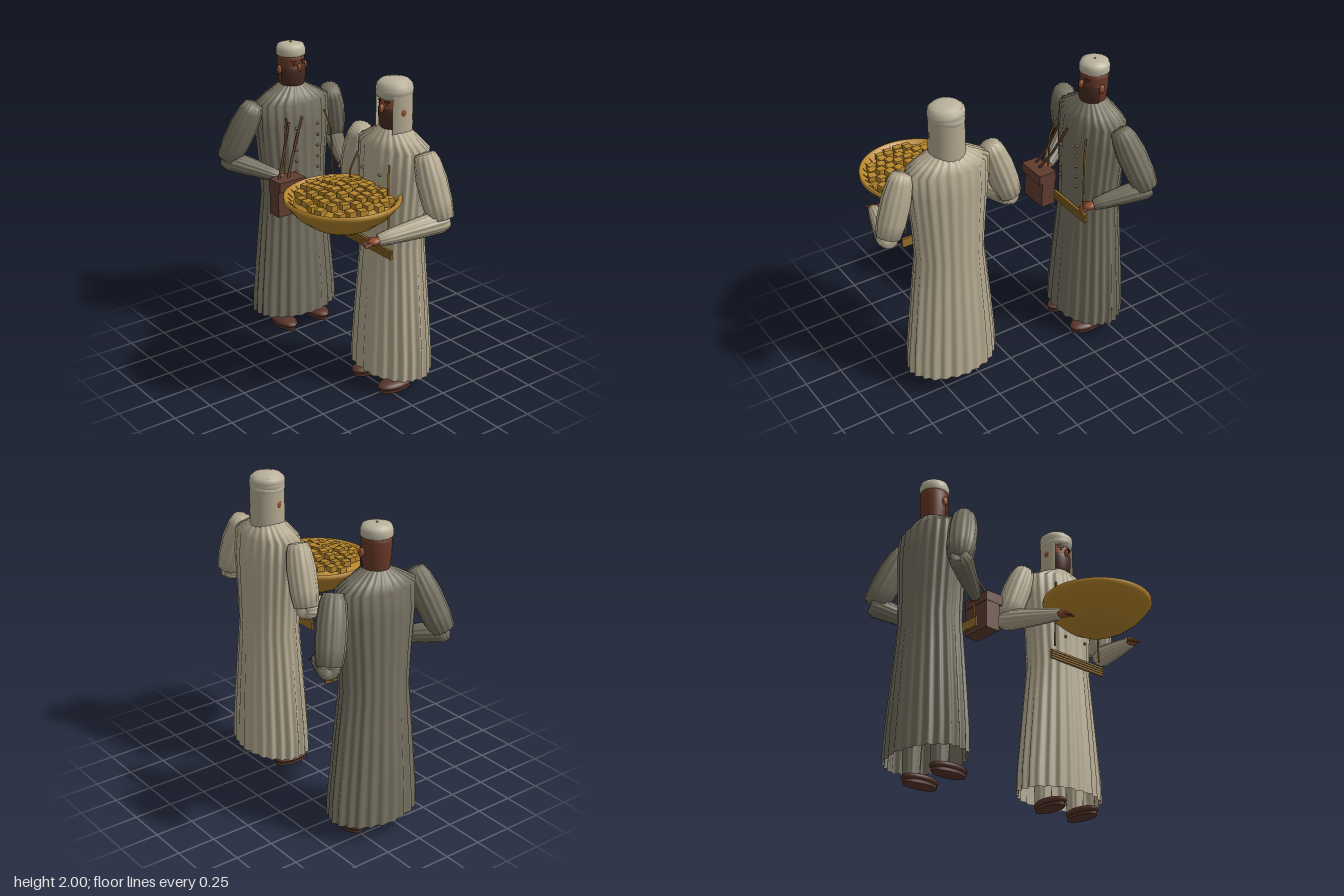
import * as THREE from 'three';

const mat = (name, color, side = THREE.FrontSide) => {
  const m = new THREE.MeshStandardMaterial({ color, side });
  m.name = name;
  return m;
};
const V = (x, y, z) => new THREE.Vector3(x, y, z);
const UP = V(0, 1, 0);

function add(parent, name, geo, material, x = 0, y = 0, z = 0) {
  const m = new THREE.Mesh(geo, material);
  m.name = name;
  m.position.set(x, y, z);
  parent.add(m);
  return m;
}

// Pleated cloth surface through elliptical rows [y, rx, rz, pleatDepth]
function loft(rows, pleats, segs) {
  const pos = [], idx = [];
  rows.forEach(([y, rx, rz, amp]) => {
    for (let j = 0; j < segs; j++) {
      const t = (j / segs) * Math.PI * 2;
      const k = 1 + amp * (Math.cos(pleats * t) + 0.4 * Math.cos(t * 9 + 1));
      pos.push(rx * k * Math.cos(t), y, rz * k * Math.sin(t));
    }
  });
  for (let i = 0; i < rows.length - 1; i++) {
    for (let j = 0; j < segs; j++) {
      const a = i * segs + j, b = i * segs + (j + 1) % segs;
      idx.push(a, a + segs, b, b, a + segs, b + segs);
    }
  }
  const g = new THREE.BufferGeometry();
  g.setAttribute('position', new THREE.Float32BufferAttribute(pos, 3));
  g.setIndex(idx);
  g.computeVertexNormals();
  return g;
}

// Pleated sleeve piece from a to b with radii at fractions [t, r]
function sleeve(parent, name, a, b, radii, material) {
  const len = a.distanceTo(b);
  const rows = radii.map(([t, r]) => [t * len, r, r, 0.035]);
  rows.unshift([0, 0.001, 0.001, 0]);
  rows.push([len, 0.001, 0.001, 0]);
  const m = add(parent, name, loft(rows, 14, 70), material, a.x, a.y, a.z);
  m.quaternion.setFromUnitVectors(UP, b.clone().sub(a).normalize());
}

function rod(parent, name, points, r, material) {
  const path = new THREE.CurvePath();
  for (let i = 1; i < points.length; i++) path.add(new THREE.LineCurve3(points[i - 1], points[i]));
  add(parent, name, new THREE.TubeGeometry(path, 24, r, 8), material);
}

// Palm, four fingers and thumb, pointing along dir
function hand(parent, at, dir, side, material) {
  const h = new THREE.Group();
  h.name = 'hand';
  h.position.copy(at);
  h.quaternion.setFromUnitVectors(V(0, 0, 1), dir.clone().normalize());
  add(h, 'palm', new THREE.SphereGeometry(1, 16, 12), material).scale.set(0.034, 0.022, 0.042);
  for (let i = 0; i < 4; i++) {
    const f = add(h, 'finger', new THREE.CapsuleGeometry(0.008, 0.035, 4, 8), material, (i - 1.5) * 0.016, -0.004, 0.046);
    f.rotation.x = Math.PI / 2 + 0.2;
  }
  const t = add(h, 'thumb', new THREE.CapsuleGeometry(0.009, 0.03, 4, 8), material, -side * 0.034, 0.004, 0.015);
  t.rotation.set(Math.PI / 2, 0, side * 0.5);
  parent.add(h);
}

function man(name, robe, skin, M, arms) {
  const g = new THREE.Group();
  g.name = name;
  // Long pleated robe, open at the hem
  add(g, 'robe', loft([
    [0.11, 0.3, 0.208, 0.035], [0.25, 0.295, 0.205, 0.035], [0.5, 0.272, 0.195, 0.032],
    [0.75, 0.248, 0.182, 0.028], [0.97, 0.226, 0.172, 0.022], [1.2, 0.24, 0.172, 0.02],
    [1.45, 0.262, 0.174, 0.025], [1.6, 0.262, 0.16, 0.03], [1.65, 0.18, 0.125, 0.03],
    [1.71, 0.075, 0.075, 0.01]], 24, 168), robe);
  // Head with beard, nose, ears and eyes
  const lathe = (pts, s, l) => new THREE.LatheGeometry(pts.map(p => new THREE.Vector2(...p)), 32, s, l);
  add(g, 'head', lathe([[0.075, 1.66], [0.08, 1.72], [0.088, 1.78], [0.09, 1.87], [0.085, 1.93], [0.001, 1.95]]), skin);
  add(g, 'beard', lathe([[0.078, 1.69], [0.091, 1.72], [0.096, 1.78], [0.096, 1.815], [0.088, 1.83]], -1.35, 2.7), M.hair);
  add(g, 'nose', new THREE.SphereGeometry(1, 12, 10), M.skin, 0, 1.825, 0.093).scale.set(0.014, 0.028, 0.022);
  for (const s of [-1, 1]) {
    add(g, 'ear', new THREE.SphereGeometry(1, 12, 10), M.skin, s * 0.1, 1.81, 0.012).scale.set(0.014, 0.03, 0.02);
    add(g, 'brow', new THREE.BoxGeometry(0.035, 0.008, 0.008), M.hair, s * 0.036, 1.868, 0.084).rotation.y = s * 0.4;
    add(g, 'eye', new THREE.SphereGeometry(0.007, 8, 6), M.hair, s * 0.034, 1.85, 0.083);
    // Trouser legs and shoes
    add(g, 'trouserLeg', loft([[0.05, 0.052, 0.052, 0.03], [0.4, 0.065, 0.065, 0.03]], 12, 60), robe, s * 0.135, 0, 0);
    add(g, 'shoe', new THREE.SphereGeometry(1, 24, 14), M.shoe, s * 0.135, 0.038, 0.065).scale.set(0.07, 0.032, 0.13);
    add(g, 'sole', new THREE.CylinderGeometry(1, 1, 1, 24), M.shoe, s * 0.135, 0.01, 0.065).scale.set(0.058, 0.02, 0.12);
    // Sleeves and hand
    const { elbow, wrist } = arms[s < 0 ? 'right' : 'left'];
    const e = V(s * elbow[0], elbow[1], elbow[2]), w = V(s * wrist[0], wrist[1], wrist[2]);
    sleeve(g, 'upperSleeve', V(s * 0.3, 1.615, 0.01), e, [[0, 0.058], [0.12, 0.076], [0.4, 0.09], [0.75, 0.088], [1, 0.076]], robe);
    sleeve(g, 'foreSleeve', e.clone().add(V(0, -0.015, 0)), w, [[-0.1, 0.05], [0.02, 0.068], [0.4, 0.06], [0.8, 0.046], [1, 0.036]], robe);
    const d = w.clone().sub(e).normalize();
    hand(g, w.clone().addScaledVector(d, 0.025), d, s, M.skin);
    // Gold cord down the chest
    rod(g, 'chestCord', [V(s * 0.15, 1.53, 0.155), V(s * 0.185, 1.4, 0.187), V(s * 0.195, 1.04, 0.187)], 0.006, M.trim);
    for (let i = 0; i < 5; i++) {
      add(g, 'button', new THREE.SphereGeometry(0.009, 10, 8), M.trim, s * 0.085, 1.15 + i * 0.075, 0.172);
    }
  }
  // Striped belt plate
  for (let i = 0; i < 4; i++) {
    add(g, 'beltStripe', new THREE.BoxGeometry(0.45, 0.012, 0.016), M.trim, 0, 0.96 + i * 0.0165, 0.184);
  }
  add(g, 'beltBacking', new THREE.BoxGeometry(0.45, 0.058, 0.009), M.trim, 0, 0.985, 0.18);
  return g;
}

export function createModel() {
  const M = {
    robeGrey: mat('grey robe cloth', 0x757060, THREE.DoubleSide),
    robeCream: mat('cream robe cloth', 0xb4a990, THREE.DoubleSide),
    cap: mat('headwear cloth', 0xbab29c, THREE.DoubleSide),
    skin: mat('skin', 0x93502f),
    darkSkin: mat('dark skin', 0x683827),
    hair: mat('beard', 0x482a20, THREE.DoubleSide),
    leather: mat('bag leather', 0x613d30),
    shoe: mat('shoe leather', 0x57352a),
    trim: mat('gold trim', 0x96702a),
    gold: mat('basket gold', 0xb5852c, THREE.DoubleSide),
  };
  const lathe = (pts, n = 48) => new THREE.LatheGeometry(pts.map(p => new THREE.Vector2(...p)), n);
  const model = new THREE.Group();
  model.name = 'twoMen';

  // Man with a shoulder bag, turned to +x
  const arm = { elbow: [0.425, 1.24, -0.115], wrist: [0.29, 1.135, 0.18] };
  const a = man('bagMan', M.robeGrey, M.darkSkin, M, { left: arm, right: { elbow: arm.elbow, wrist: [0.22, 1.15, 0.17] } });
  add(a, 'cap', lathe([[0.088, 1.895], [0.095, 1.9], [0.095, 1.935], [0.085, 1.962], [0.05, 1.972], [0.001, 1.974]]), M.cap);
  add(a, 'capKnob', new THREE.SphereGeometry(0.007, 10, 8), M.trim, 0, 1.973, 0);
  add(a, 'bag', new THREE.BoxGeometry(0.2, 0.235, 0.1), M.leather, -0.21, 1.037, 0.237);
  add(a, 'bagFlap', new THREE.BoxGeometry(0.205, 0.065, 0.125), M.leather, -0.21, 1.13, 0.247);
  rod(a, 'bagStrap', [V(-0.03, 1.52, 0.16), V(-0.13, 1.3, 0.2), V(-0.21, 1.15, 0.25)], 0.009, M.leather);
  rod(a, 'bagStrap', [V(-0.13, 1.5, 0.155), V(-0.2, 1.3, 0.19), V(-0.27, 1.15, 0.235)], 0.008, M.leather);
  a.rotation.y = Math.PI / 2;
  a.position.set(-0.68, 0, -0.115);
  model.add(a);

  // Man carrying a basket
  const carry = { elbow: [0.425, 1.24, -0.02], wrist: [0.315, 1.165, 0.36] };
  const b = man('basketMan', M.robeCream, M.skin, M, { left: carry, right: carry });
  add(b, 'turban', lathe([[0.088, 1.88], [0.106, 1.9], [0.112, 1.93], [0.108, 1.965], [0.085, 1.988], [0.045, 1.998], [0.001, 2]]), M.cap);
  [[-0.06, 0.2, 1.915], [0.06, -0.12, 1.94]].forEach(([rx, rz, y]) => {
    const wrap = add(b, 'turbanWrap', new THREE.TorusGeometry(0.098, 0.015, 10, 40).rotateX(Math.PI / 2), M.cap, 0, y, 0);
    wrap.scale.y = 1.8;
    wrap.rotation.set(rx, 0, rz);
  });
  add(b, 'headCloth', new THREE.CylinderGeometry(0.108, 0.112, 0.3, 40, 1, true, 0.8, Math.PI * 2 - 1.6), M.robeCream, 0, 1.78, 0);

  // Basket heaped with small square pieces
  const basket = new THREE.Group();
  basket.name = 'basket';
  basket.position.set(0, 0, 0.38);
  add(basket, 'bowl', lathe([[0.001, 1.145], [0.14, 1.148], [0.2, 1.18], [0.28, 1.24], [0.34, 1.31], [0.352, 1.325],
    [0.352, 1.345], [0.34, 1.35], [0.33, 1.342], [0.3, 1.31], [0.25, 1.295]], 64), M.gold);
  add(basket, 'heapBase', lathe([[0.3, 1.3], [0.27, 1.325], [0.15, 1.36], [0.001, 1.375]]), M.gold);
  for (let i = 0; i < 32; i++) {
    const t = (i / 32) * Math.PI * 2;
    const rib = add(basket, 'rib', new THREE.BoxGeometry(0.006, 0.006, 0.035), M.trim, Math.sin(t) * 0.313, 1.326, Math.cos(t) * 0.313);
    rib.rotation.set(-0.75, t, 0, 'YXZ');
  }
  let seed = 7;
  const rnd = () => (seed = (seed * 16807) % 2147483647) / 2147483647 - 0.5;
  for (let i = -4; i <= 4; i++) {
    for (let j = -4; j <= 4; j++) {
      const x = (i + (j % 2 ? 0.25 : -0.25)) * 0.063 + rnd() * 0.012, z = j * 0.062 + rnd() * 0.012;
      const r = Math.hypot(x, z);
      if (r > 0.285) continue;
      const y = 1.395 - 0.75 * r * r + rnd() * 0.02;
      const p = add(basket, 'piece', new THREE.BoxGeometry(0.05, 0.036, 0.05), M.gold, x, y, z);
      p.rotation.set(rnd() * 0.15, rnd() * 0.5, rnd() * 0.15);
    }
  }
  b.add(basket);
  b.position.set(0.378, 0, -0.12);
  model.add(b);
  return model;
}
